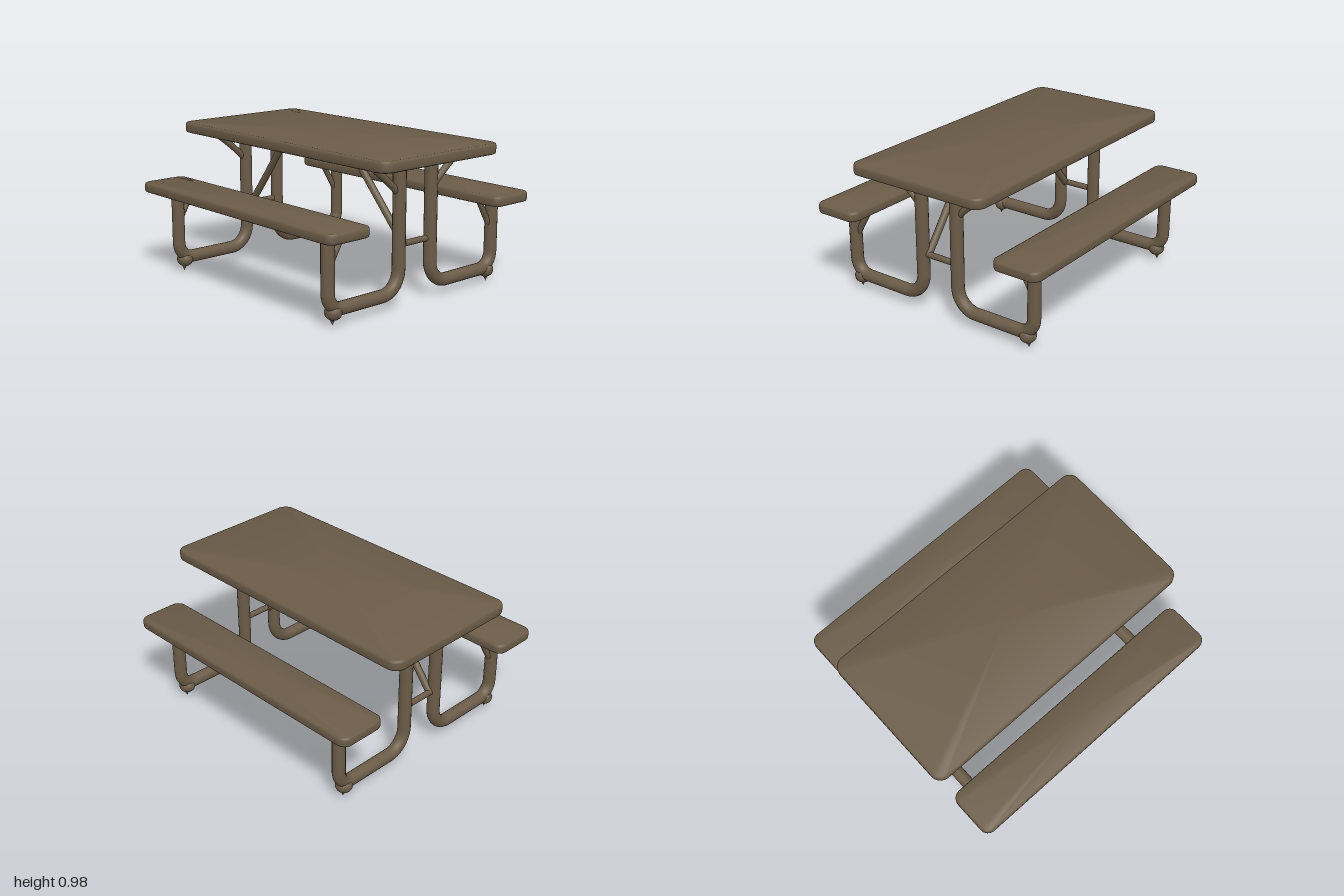
import * as THREE from 'three';
import { toCreasedNormals } from 'three/addons/utils/BufferGeometryUtils.js';

const brown = new THREE.MeshStandardMaterial({ color: 0x6a5b47 });
brown.name = 'brown coating';

const V = (x, y, z) => new THREE.Vector3(x, y, z);

function add(parent, name, geometry, x = 0, y = 0, z = 0) {
  const mesh = new THREE.Mesh(geometry, brown);
  mesh.name = name;
  mesh.position.set(x, y, z);
  parent.add(mesh);
  return mesh;
}

// Outline of a rounded rectangle in the xz plane, always with the same point count
function outline(hx, hz, r, y) {
  const pts = [], steps = 8;
  for (let c = 0; c < 4; c++) {
    const sx = c === 0 || c === 3 ? 1 : -1, sz = c < 2 ? 1 : -1;
    for (let i = 0; i <= steps; i++) {
      const a = (c + i / steps) * Math.PI / 2;
      pts.push([sx * (hx - r) + r * Math.cos(a), y, sz * (hz - r) + r * Math.sin(a)]);
    }
  }
  return pts;
}

// Rounded slab with a folded-down rim and a recessed underside
function slab(hx, hz, radius, y0, y1) {
  const sections = [ // inset, height
    [0.034, y0 + 0.032], [0.032, y0 + 0.006], [0.026, y0], [0.014, y0], [0.004, y0 + 0.005],
    [0, y0 + 0.016], [0, y1 - 0.016], [0.004, y1 - 0.005], [0.014, y1],
  ];
  const rings = sections.map(([d, y]) => outline(hx - d, hz - d, radius - d, y));
  const n = rings[0].length, last = rings.length - 1;
  const points = rings.flat();
  const bottom = points.push([0, y0 + 0.032, 0]) - 1;
  const top = points.push([0, y1, 0]) - 1;
  const index = [];
  for (let i = 0; i < n; i++) {
    const j = (i + 1) % n;
    for (let k = 0; k < last; k++) {
      const a = k * n + i, b = k * n + j, c = a + n, d = b + n;
      index.push(a, c, b, b, c, d);
    }
    index.push(bottom, i, j, top, last * n + j, last * n + i);
  }
  const g = new THREE.BufferGeometry();
  g.setAttribute('position', new THREE.Float32BufferAttribute(points.flat(), 3));
  g.setIndex(index);
  return toCreasedNormals(g, 0.9);
}

const rod = (a, b, r) => new THREE.TubeGeometry(new THREE.LineCurve3(a, b), 1, r, 12);

// One bent pipe: up to the table inside, up to the bench outside
function legPath(x, s) {
  const path = new THREE.CurvePath();
  const p = (z, y) => V(x, y, s * z);
  const k = 0.45;
  const bend = (z0, y0, zc, yc, z1, y1) => path.add(new THREE.CubicBezierCurve3(
    p(z0, y0), p(zc + (z0 - zc) * k, yc + (y0 - yc) * k),
    p(zc + (z1 - zc) * k, yc + (y1 - yc) * k), p(z1, y1)));
  path.add(new THREE.LineCurve3(p(0.137, 0.95), p(0.137, 0.24)));
  bend(0.137, 0.24, 0.137, 0.092, 0.275, 0.092);
  path.add(new THREE.LineCurve3(p(0.275, 0.092), p(0.61, 0.092)));
  bend(0.61, 0.092, 0.712, 0.092, 0.712, 0.2);
  path.add(new THREE.LineCurve3(p(0.712, 0.2), p(0.712, 0.585)));
  return path;
}

export function createModel() {
  const model = new THREE.Group();
  model.name = 'picnicTable';

  add(model, 'tableTop', slab(1, 0.5, 0.075, 0.905, 0.975));
  for (const s of [1, -1]) {
    add(model, s > 0 ? 'frontBench' : 'backBench', slab(0.955, 0.165, 0.06, 0.545, 0.61), 0, 0, s * 0.7);
  }

  for (const sx of [1, -1]) {
    const frame = new THREE.Group();
    frame.name = sx > 0 ? 'leftFrame' : 'rightFrame';
    model.add(frame);
    const x = sx * 0.757;

    for (const s of [1, -1]) {
      add(frame, 'bentLeg', new THREE.TubeGeometry(legPath(x, s), 90, 0.042, 16));

      // Curved bracket under the table edge
      add(frame, 'tableBracket', new THREE.TubeGeometry(new THREE.QuadraticBezierCurve3(
        V(x, 0.70, s * 0.14), V(x, 0.795, s * 0.22), V(x, 0.94, s * 0.43)), 14, 0.022, 12));

      // Straight bracket under the bench
      add(frame, 'benchBracket', rod(V(x, 0.37, s * 0.695), V(x, 0.58, s * 0.573), 0.02));

      // Foot with its small ground point
      const foot = add(frame, 'foot', new THREE.SphereGeometry(1, 14, 10), x, 0.08, s * 0.668);
      foot.scale.set(0.056, 0.05, 0.054);
      const tip = add(frame, 'footTip', new THREE.ConeGeometry(0.022, 0.05, 10), x, 0.025, s * 0.675);
      tip.rotation.x = Math.PI;
    }

    // Bar joining the two uprights, and the long brace up to the table
    add(frame, 'crossBar', rod(V(x, 0.39, -0.13), V(x, 0.39, 0.13), 0.02));
    add(frame, 'longBrace', new THREE.TubeGeometry(new THREE.QuadraticBezierCurve3(
      V(sx * 0.757, 0.385, 0.095), V(sx * 0.52, 0.66, 0.105), V(sx * 0.3, 0.94, 0.13)), 12, 0.024, 12));
  }
  return model;
}
